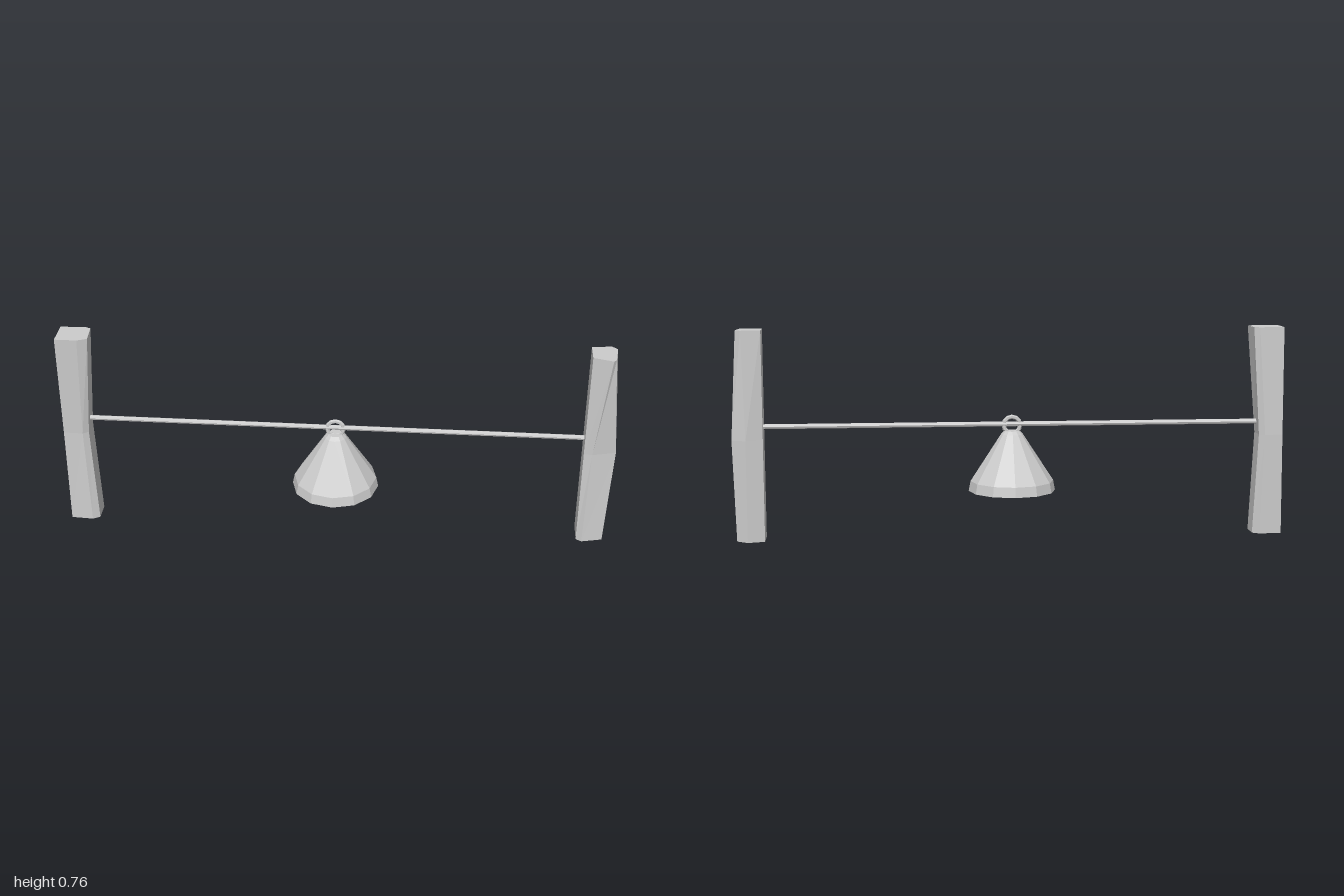
import * as THREE from 'three';

const stone = new THREE.MeshStandardMaterial({ color: 0xcccccc, flatShading: true, side: THREE.DoubleSide });
stone.name = 'light grey';

function part(name, geometry, x = 0, y = 0, z = 0) {
  const mesh = new THREE.Mesh(geometry, stone);
  mesh.name = name;
  mesh.position.set(x, y, z);
  return mesh;
}

// Joins [x, z] cross-sections (clockwise from above) at the given heights, with end caps
function loft(rings, heights) {
  const pos = [];
  const p = (r, i) => {
    const [x, z] = rings[r][i % rings[r].length];
    return [x, heights[r], z];
  };
  const n = rings[0].length, last = rings.length - 1;
  for (let r = 0; r < last; r++) {
    for (let i = 0; i < n; i++) {
      pos.push(...p(r, i + 1), ...p(r, i), ...p(r + 1, i));
      pos.push(...p(r, i + 1), ...p(r + 1, i), ...p(r + 1, i + 1));
    }
  }
  for (let i = 1; i < n - 1; i++) {
    pos.push(...p(0, 0), ...p(0, i), ...p(0, i + 1));
    pos.push(...p(last, 0), ...p(last, i + 1), ...p(last, i));
  }
  const g = new THREE.BufferGeometry();
  g.setAttribute('position', new THREE.Float32BufferAttribute(pos, 3));
  g.computeVertexNormals();
  return g;
}

export function createModel() {
  const group = new THREE.Group();
  group.name = 'hangingBell';
  const heights = [0, 0.368, 0.76];

  // Rough-hewn posts, each bent at mid height
  group.add(part('leftPost', loft([
    [[0.885, 0.045], [0.885, -0.04], [0.945, -0.056], [0.985, -0.028], [0.98, 0.04], [0.905, 0.058]],
    [[0.885, 0.042], [0.885, -0.035], [0.945, -0.052], [0.995, -0.04], [1.0, 0.024], [0.915, 0.046]],
    [[0.885, 0.045], [0.885, -0.034], [0.955, -0.044], [0.975, -0.026], [0.965, 0.054], [0.955, 0.066]],
  ], heights)));
  group.add(part('rightPost', loft([
    [[-1, 0.05], [-1, -0.042], [-0.92, -0.047], [-0.895, -0.03], [-0.895, 0.04], [-0.92, 0.055]],
    [[-1, 0.042], [-0.995, -0.05], [-0.93, -0.053], [-0.91, -0.04], [-0.91, 0.03], [-0.93, 0.044]],
    [[-0.995, 0.06], [-0.995, -0.04], [-0.905, -0.044], [-0.885, -0.035], [-0.88, 0.045], [-0.915, 0.06]],
  ], heights)));

  // Crossbar between the posts
  const bar = new THREE.CylinderGeometry(0.009, 0.009, 1.82, 8);
  bar.rotateZ(Math.PI / 2);
  group.add(part('crossbar', bar, -0.005, 0.412, 0));

  // Faceted, open bell with its hanging ring and clapper
  const bell = new THREE.Group();
  bell.name = 'bell';
  bell.position.x = -0.008;
  const profile = [[0.158, 0.168], [0.151, 0.204], [0.04, 0.375], [0.028, 0.387], [0, 0.387]]
    .map(([r, y]) => new THREE.Vector2(r, y));
  bell.add(part('bellBody', new THREE.LatheGeometry(profile, 12)));
  bell.add(part('bellRing', new THREE.TorusGeometry(0.03, 0.008, 6, 12), 0, 0.408, 0));
  bell.add(part('clapper', new THREE.CylinderGeometry(0.017, 0.017, 0.225, 8), 0, 0.265, 0));
  group.add(bell);

  return group;
}
